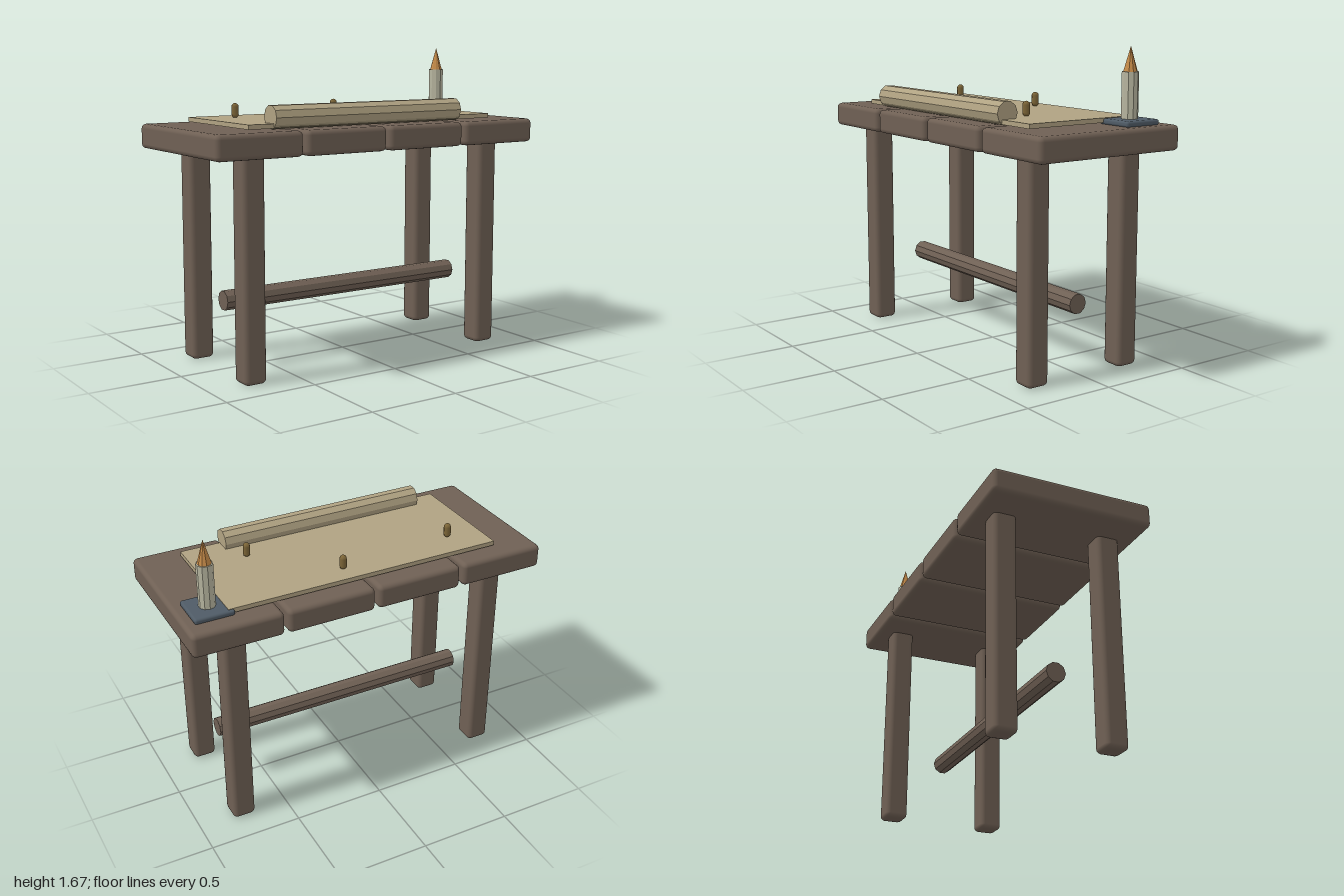
import * as THREE from 'three';
import { RoundedBoxGeometry } from 'three/addons/geometries/RoundedBoxGeometry.js';

const paint = (color, flatShading = false) => new THREE.MeshStandardMaterial({ color, flatShading });

export function createModel() {
  const model = new THREE.Group();
  const wood = paint(0x6f6054);
  const woodFlat = paint(0x6f6054, true);
  const parchment = paint(0xb0a282, true);
  const brass = paint(0x7d6638);
  const iron = paint(0x4f5b66);
  const wax = paint(0xb8b6a0, true);
  const fire = paint(0xc48a48, true);

  const add = (name, geometry, material, x, y, z) => {
    const mesh = new THREE.Mesh(geometry, material);
    mesh.name = name;
    mesh.position.set(x, y, z);
    model.add(mesh);
    return mesh;
  };

  // Table top: four thick planks with narrow gaps
  const plank = new RoundedBoxGeometry(0.485, 0.13, 0.875, 2, 0.025);
  for (let i = 0; i < 4; i++) add('plank', plank, wood, (i - 1.5) * 0.505, 1.212, 0);

  // Four rounded square legs
  const leg = new RoundedBoxGeometry(0.125, 1.17, 0.125, 2, 0.025);
  for (const x of [-0.75, 0.75]) {
    for (const z of [-0.29, 0.29]) add('leg', leg, wood, x, 0.585, z);
  }

  // Long round stretcher between the leg pairs
  add('stretcher', new THREE.CylinderGeometry(0.053, 0.053, 1.5, 10), woodFlat, 0, 0.368, 0)
    .rotation.z = Math.PI / 2;

  // Flat sheet and the rolled part along its front edge
  add('sheet', new THREE.BoxGeometry(1.535, 0.024, 0.658), parchment, 0, 1.297, -0.002);
  add('roll', new THREE.CylinderGeometry(0.062, 0.062, 1.17, 10), parchment, -0.04, 1.339, 0.294)
    .rotation.z = Math.PI / 2;

  // Small upright pegs on the sheet
  const peg = new THREE.CapsuleGeometry(0.02, 0.04, 3, 8);
  for (const [x, z] of [[-0.573, -0.168], [0.088, -0.224], [0.474, 0.126]]) {
    add('peg', peg, brass, x, 1.346, z);
  }

  // Candle on a square holder
  const cx = 0.842, cz = -0.241;
  add('candleHolder', new RoundedBoxGeometry(0.21, 0.03, 0.212, 2, 0.012), iron, cx, 1.291, cz);
  add('candle', new THREE.CylinderGeometry(0.043, 0.043, 0.24, 10), wax, cx, 1.42, cz);
  add('flame', new THREE.ConeGeometry(0.036, 0.127, 10), fire, cx, 1.603, cz);

  return model;
}
